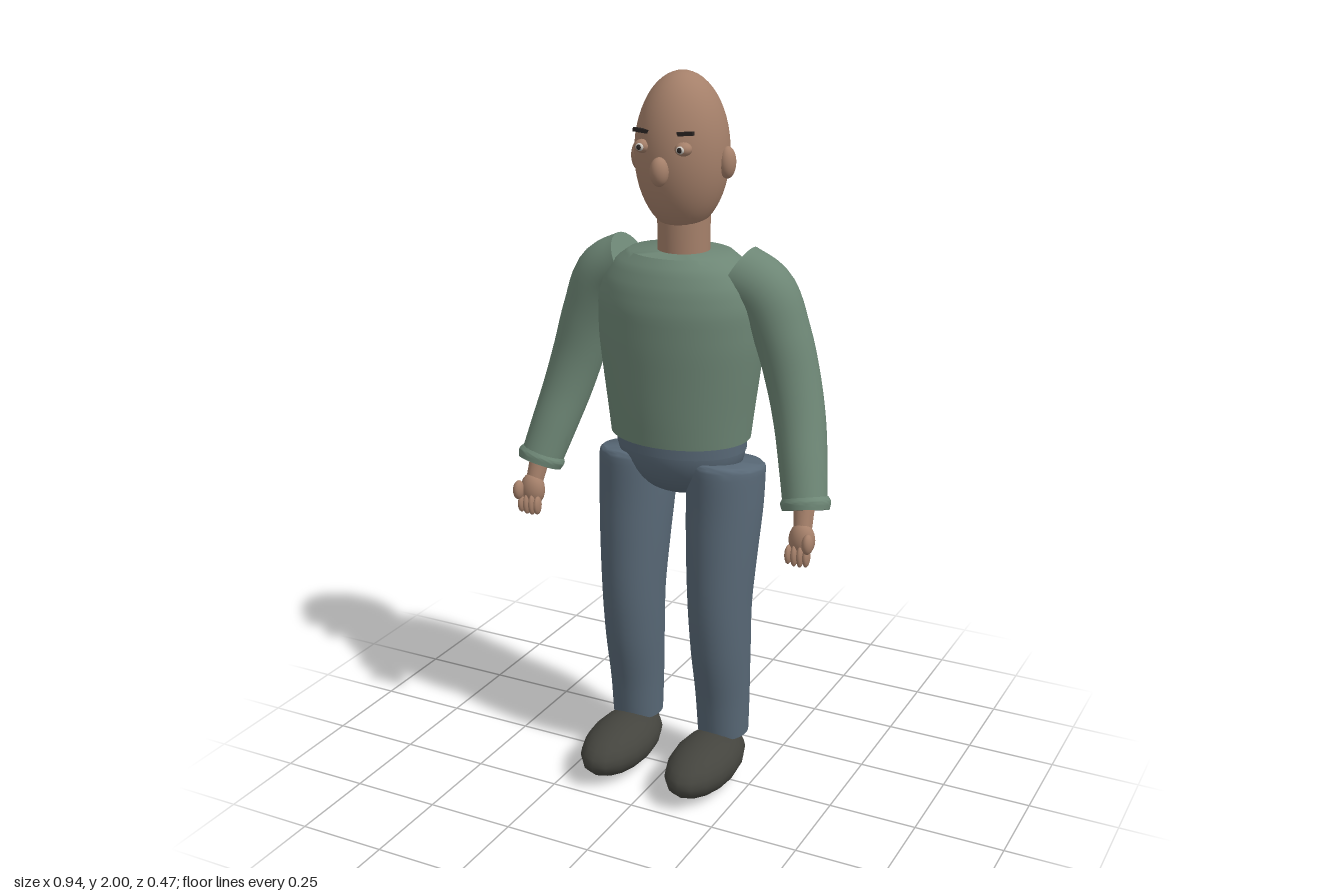
import * as THREE from 'three';
import { toCreasedNormals } from 'three/addons/utils/BufferGeometryUtils.js';

const mat = (name, color) => {
  const m = new THREE.MeshStandardMaterial({ color });
  m.name = name;
  return m;
};

// Closed elliptical sweep; each station is [x, y, z, radius across, radius in depth]
function sweep(stations, steps = 24, sides = 28) {
  const path = new THREE.CatmullRomCurve3(stations.map(s => new THREE.Vector3(s[0], s[1], s[2])));
  const radii = new THREE.CatmullRomCurve3(stations.map(s => new THREE.Vector3(s[3], s[4], 0)));
  const pos = [], index = [];
  const addRing = (t, scale) => {
    const c = path.getPoint(t), r = radii.getPoint(t), T = path.getTangent(t);
    const b = new THREE.Vector3(0, 0, 1).addScaledVector(T, -T.z).normalize();
    const n = new THREE.Vector3().crossVectors(T, b);
    for (let j = 0; j < sides; j++) {
      const a = (j / sides) * Math.PI * 2;
      const p = c.clone().addScaledVector(n, Math.cos(a) * r.x * scale)
        .addScaledVector(b, Math.sin(a) * r.y * scale);
      pos.push(p.x, p.y, p.z);
    }
  };
  addRing(0, 0);
  for (let i = 0; i <= steps; i++) addRing(i / steps, 1);
  addRing(1, 0);
  for (let i = 0; i < steps + 2; i++) {
    for (let j = 0; j < sides; j++) {
      const k = (j + 1) % sides, a = i * sides + j, d = i * sides + k;
      if (i <= steps) index.push(a, a + sides, d + sides);
      if (i > 0) index.push(a, d + sides, d);
    }
  }
  const g = new THREE.BufferGeometry();
  g.setAttribute('position', new THREE.Float32BufferAttribute(pos, 3));
  g.setIndex(index);
  return toCreasedNormals(g, 0.8);
}

export function createModel() {
  const model = new THREE.Group();
  model.name = 'standingMan';
  const skin = mat('skin', 0xa5806a);
  const sweater = mat('sweaterGreen', 0x6d8675);
  const denim = mat('trouserBlue', 0x586876);
  const shoe = mat('shoeCharcoal', 0x44443e);
  const dark = mat('browDark', 0x2a2422);
  const white = mat('eyeWhite', 0xd0cbc4);

  const add = (name, geometry, material) => {
    const m = new THREE.Mesh(geometry, material);
    m.name = name;
    model.add(m);
    return m;
  };
  const ball = (name, material, p, r, w = 20, h = 14) => {
    const m = add(name, new THREE.SphereGeometry(1, w, h), material);
    m.position.set(...p);
    m.scale.set(...r);
    return m;
  };

  // Head and neck
  ball('head', skin, [0, 1.791, -0.066], [0.125, 0.209, 0.13], 36, 28);
  ball('nose', skin, [0, 1.758, 0.068], [0.025, 0.038, 0.026]);
  add('neck', sweep([[0, 1.48, -0.076, 0.071, 0.071], [0, 1.65, -0.076, 0.071, 0.071]], 2), skin);

  // Sweater body
  add('torso', sweep([
    [0, 1.02, -0.06, 0.2, 0.16], [0, 1.1, -0.06, 0.21, 0.166],
    [0, 1.2, -0.06, 0.224, 0.171], [0, 1.3, -0.06, 0.235, 0.175],
    [0, 1.38, -0.06, 0.236, 0.175], [0, 1.45, -0.06, 0.22, 0.164],
    [0, 1.5, -0.06, 0.185, 0.144], [0, 1.53, -0.06, 0.145, 0.122],
  ], 28, 36), sweater);

  // Waistband and seat of the trousers
  add('waistband', sweep([[0, 0.985, -0.066, 0.187, 0.146], [0, 1.04, -0.066, 0.187, 0.146]], 2, 32), denim);
  ball('pelvis', denim, [0, 0.995, -0.066], [0.185, 0.15, 0.143], 28, 20);

  for (const s of [1, -1]) {
    const side = s > 0 ? 'left' : 'right';

    // Face
    ball(side + 'Ear', skin, [s * 0.128, 1.771, -0.07], [0.022, 0.042, 0.027]);
    ball(side + 'Eyelid', skin, [s * 0.058, 1.817, 0.046], [0.023, 0.018, 0.022]);
    ball(side + 'EyeWhite', white, [s * 0.058, 1.817, 0.063], [0.012, 0.01, 0.008], 14, 10);
    ball(side + 'Pupil', dark, [s * 0.058, 1.817, 0.0685], [0.007, 0.007, 0.005], 12, 8);
    const brow = add(side + 'Brow', new THREE.BoxGeometry(0.046, 0.01, 0.012), dark);
    brow.position.set(s * 0.062, 1.856, 0.044);
    brow.rotation.z = s * 0.08;

    // Sleeve and cuff
    add(side + 'Sleeve', sweep([
      [s * 0.16, 1.478, -0.076, 0.086, 0.085], [s * 0.235, 1.437, -0.076, 0.086, 0.083],
      [s * 0.288, 1.33, -0.078, 0.077, 0.079], [s * 0.325, 1.21, -0.074, 0.073, 0.076],
      [s * 0.355, 1.1, -0.055, 0.069, 0.073], [s * 0.383, 0.99, -0.018, 0.064, 0.067],
      [s * 0.406, 0.895, 0.018, 0.059, 0.06],
    ], 32), sweater);
    add(side + 'Cuff', sweep([
      [s * 0.402, 0.918, 0.01, 0.061, 0.061], [s * 0.405, 0.905, 0.014, 0.068, 0.066],
      [s * 0.409, 0.886, 0.021, 0.063, 0.062],
    ], 8), sweater);

    // Hand
    add(side + 'Wrist', sweep([
      [s * 0.405, 0.91, 0.02, 0.029, 0.028], [s * 0.413, 0.83, 0.05, 0.024, 0.024],
    ], 4, 18), skin);
    ball(side + 'Palm', skin, [s * 0.414, 0.815, 0.054], [0.036, 0.048, 0.031]);
    ball(side + 'Thumb', skin, [s * 0.442, 0.818, 0.085], [0.015, 0.028, 0.02]);
    for (let i = 0; i < 4; i++) {
      ball(side + 'Finger' + (i + 1), skin, [s * (0.386 + i * 0.017), 0.777, 0.077],
        [0.0095, i % 3 ? 0.031 : 0.027, 0.018], 12, 10);
    }

    // Trouser leg
    add(side + 'Leg', sweep([
      [s * 0.136, 0.953, -0.07, 0.094, 0.116], [s * 0.136, 0.94, -0.068, 0.105, 0.127],
      [s * 0.136, 0.84, -0.061, 0.105, 0.122],
      [s * 0.136, 0.7, -0.045, 0.098, 0.112], [s * 0.136, 0.54, -0.034, 0.088, 0.103],
      [s * 0.137, 0.4, -0.041, 0.083, 0.097], [s * 0.138, 0.25, -0.055, 0.077, 0.083],
      [s * 0.139, 0.13, -0.06, 0.073, 0.074],
    ], 35), denim);

    // Shoe
    ball(side + 'Shoe', shoe, [s * 0.135, 0.076, 0.05], [0.094, 0.074, 0.182], 16, 12);
  }
  return model;
}
